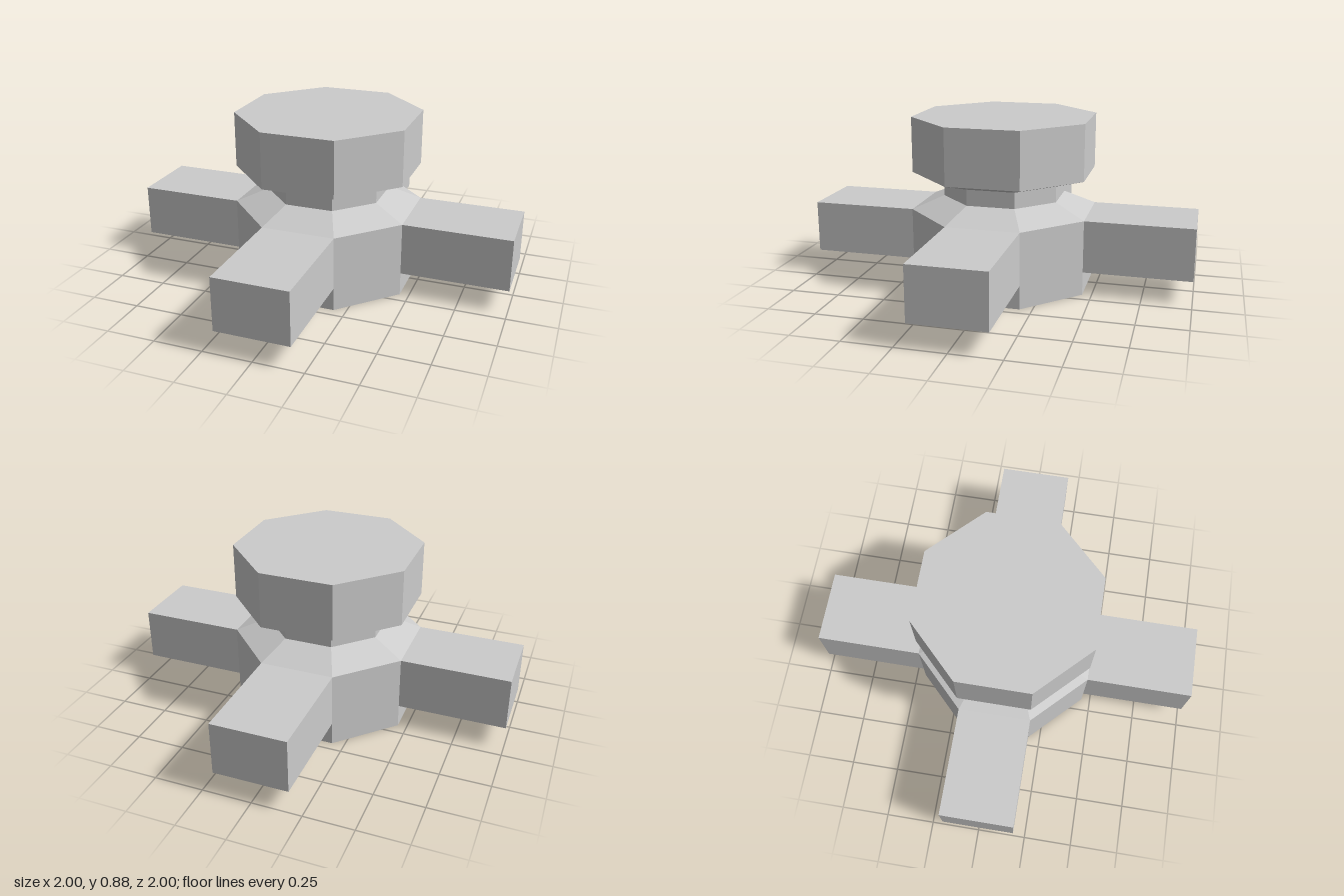
import * as THREE from 'three';

export function createModel() {
  const model = new THREE.Group();
  const grey = new THREE.MeshStandardMaterial({ color: 0xcccccc, flatShading: true, side: THREE.DoubleSide });

  const add = (name, geometry, parent = model) => {
    const mesh = new THREE.Mesh(geometry, grey);
    mesh.name = name;
    parent.add(mesh);
    return mesh;
  };

  // Octagonal shell with flat sides on the axes; points are [apothem, y]
  const octagon = (points) => new THREE.LatheGeometry(
    points.map(([a, y]) => new THREE.Vector2(a / Math.cos(Math.PI / 8), y)), 8, Math.PI / 8);

  const hub = 0.453;                                  // apothem of the base
  const side = 2 * hub * Math.tan(Math.PI / 8);       // width of one side
  const armBottom = 0.12, armTop = 0.39;

  // Stacked octagonal rings, hollow inside
  add('shoulder', octagon([[hub, armTop], [0.297, 0.46]]));
  add('neck', octagon([[0.297, 0.46], [0.297, 0.543]]));
  add('headUnderside', octagon([[0.297, 0.543], [0.447, 0.59]]));
  add('head', octagon([[0.447, 0.59], [0.447, 0.878], [0, 0.878]]));

  // Base walls, open below: full height on the diagonals, low under the arms
  for (let i = 0; i < 8; i++) {
    const height = i % 2 ? armTop : armBottom;
    const wall = new THREE.PlaneGeometry(side, height);
    wall.translate(0, height / 2, hub);
    add(i % 2 ? 'cornerWall' : 'wallBelowArm', wall).rotation.y = i * Math.PI / 4;
  }

  // Four hollow arms, open towards the hub
  for (let i = 0; i < 4; i++) {
    const arm = new THREE.BoxGeometry(side, armTop - armBottom, 1 - hub);
    arm.setIndex(Array.from(arm.index.array).slice(0, 30)); // drop the inner end
    arm.clearGroups();
    arm.translate(0, (armTop + armBottom) / 2, (1 + hub) / 2);
    add('arm', arm).rotation.y = i * Math.PI / 2;
  }
  return model;
}
